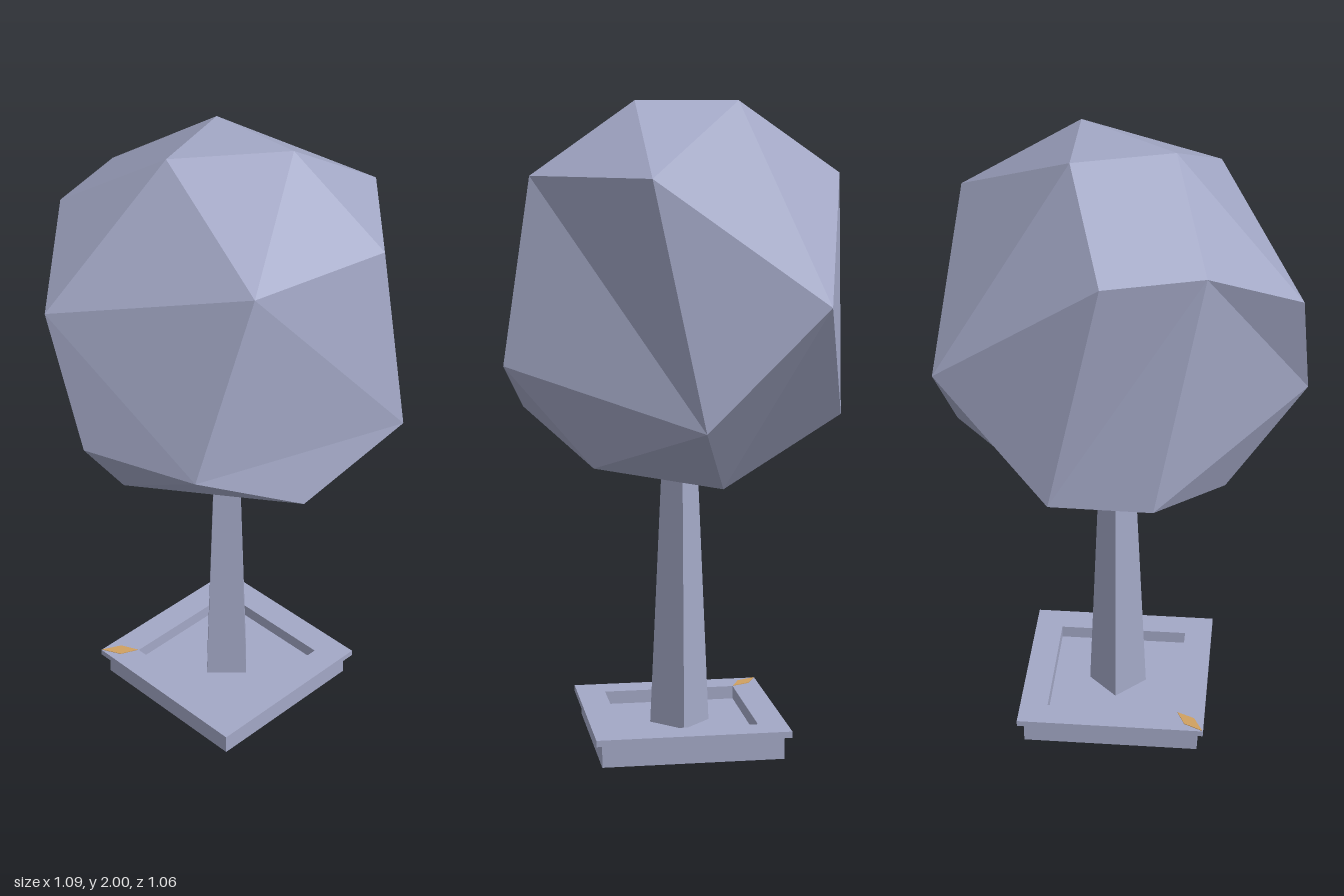
import * as THREE from 'three';

const paleSlate = new THREE.MeshStandardMaterial({ color: 0xa3a8c6, flatShading: true });
paleSlate.name = 'paleSlate';
const ochre = new THREE.MeshStandardMaterial({ color: 0xd0a060, flatShading: true });
ochre.name = 'ochre';

function part(name, geometry, material = paleSlate) {
  const mesh = new THREE.Mesh(geometry, material);
  mesh.name = name;
  return mesh;
}

// Square frame lying flat, from y to y + height
function squareFrame(outer, inner, y, height) {
  const corners = r => [[-r, -r], [r, -r], [r, r], [-r, r]].map(p => new THREE.Vector2(...p));
  const shape = new THREE.Shape(corners(outer));
  shape.holes.push(new THREE.Path(corners(inner).reverse()));
  return new THREE.ExtrudeGeometry(shape, { depth: height, bevelEnabled: false })
    .rotateX(-Math.PI / 2).translate(0, y, 0);
}

// Faceted crown: corners listed from top to bottom, joined by triangle fans around hub corners
function crownGeometry() {
  const corners = {
    a: [0.155, 2.0, 0.125], b: [0.155, 2.0, -0.19], c: [-0.14, 2.0, -0.095],
    d: [0.04, 1.78, -0.53], e: [-0.25, 1.78, -0.44], g: [-0.25, 1.78, 0.37],
    h: [0.2, 1.78, 0.445], i: [0.52, 1.78, 0.125],
    f: [-0.52, 1.6, -0.21], j: [0.54, 1.41, -0.395],
    k: [-0.545, 1.22, -0.035], l: [-0.43, 1.22, 0.315], m: [0.225, 1.22, 0.53],
    n: [-0.11, 1.05, 0.445], o: [0.54, 1.05, -0.03], p: [0.2, 1.05, -0.505], q: [-0.11, 1.05, -0.51],
    r: [0.255, 0.91, 0.265], s: [0.2, 0.825, -0.14], t: [-0.305, 0.915, -0.137],
  };
  // The first letter is the hub, the rest its neighbours in order
  const fans = ['cabdefga', 'aghib', 'jbiospdb', 'mglnrohg', 'oih', 'ors', 'lgfktn', 'efkqpd', 'tkqsrn', 'spq'];
  const middle = new THREE.Vector3(0, 1.4, 0);
  const points = [];
  for (const fan of fans) {
    for (let n = 1; n < fan.length - 1; n++) {
      const tri = [fan[0], fan[n], fan[n + 1]].map(key => new THREE.Vector3(...corners[key]));
      // Turn every facet outward
      const normal = new THREE.Triangle(...tri).getNormal(new THREE.Vector3());
      if (normal.dot(tri[0].clone().sub(middle)) < 0) tri.reverse();
      points.push(...tri);
    }
  }
  const geometry = new THREE.BufferGeometry().setFromPoints(points);
  geometry.computeVertexNormals();
  return geometry;
}

export function createModel() {
  const model = new THREE.Group();
  model.name = 'pottedTree';

  // Planter and trunk share an axis slightly off the crown's
  const base = new THREE.Group();
  base.name = 'planter';
  base.position.set(0.04, 0, -0.03);
  model.add(base);

  base.add(part('planterWalls', squareFrame(0.282, 0.212, 0, 0.072)));
  base.add(part('planterRim', squareFrame(0.302, 0.212, 0.072, 0.02)));
  base.add(part('soilBed', new THREE.BoxGeometry(0.424, 0.05, 0.424).translate(0, 0.025, 0)));

  // Four-sided tapering trunk, set cornerwise
  base.add(part('trunk', new THREE.CylinderGeometry(0.055, 0.094, 0.87, 4).translate(0, 0.485, 0)));

  // Thin coloured mitre on one rim corner
  const mitre = new THREE.Shape([[-0.3, 0.3], [-0.27, 0.24], [-0.214, 0.214], [-0.24, 0.27]]
    .map(p => new THREE.Vector2(...p)));
  base.add(part('rimCornerPatch', new THREE.ExtrudeGeometry(mitre, { depth: 0.002, bevelEnabled: false })
    .rotateX(-Math.PI / 2).translate(0, 0.092, 0), ochre));

  model.add(part('crown', crownGeometry()));
  return model;
}
